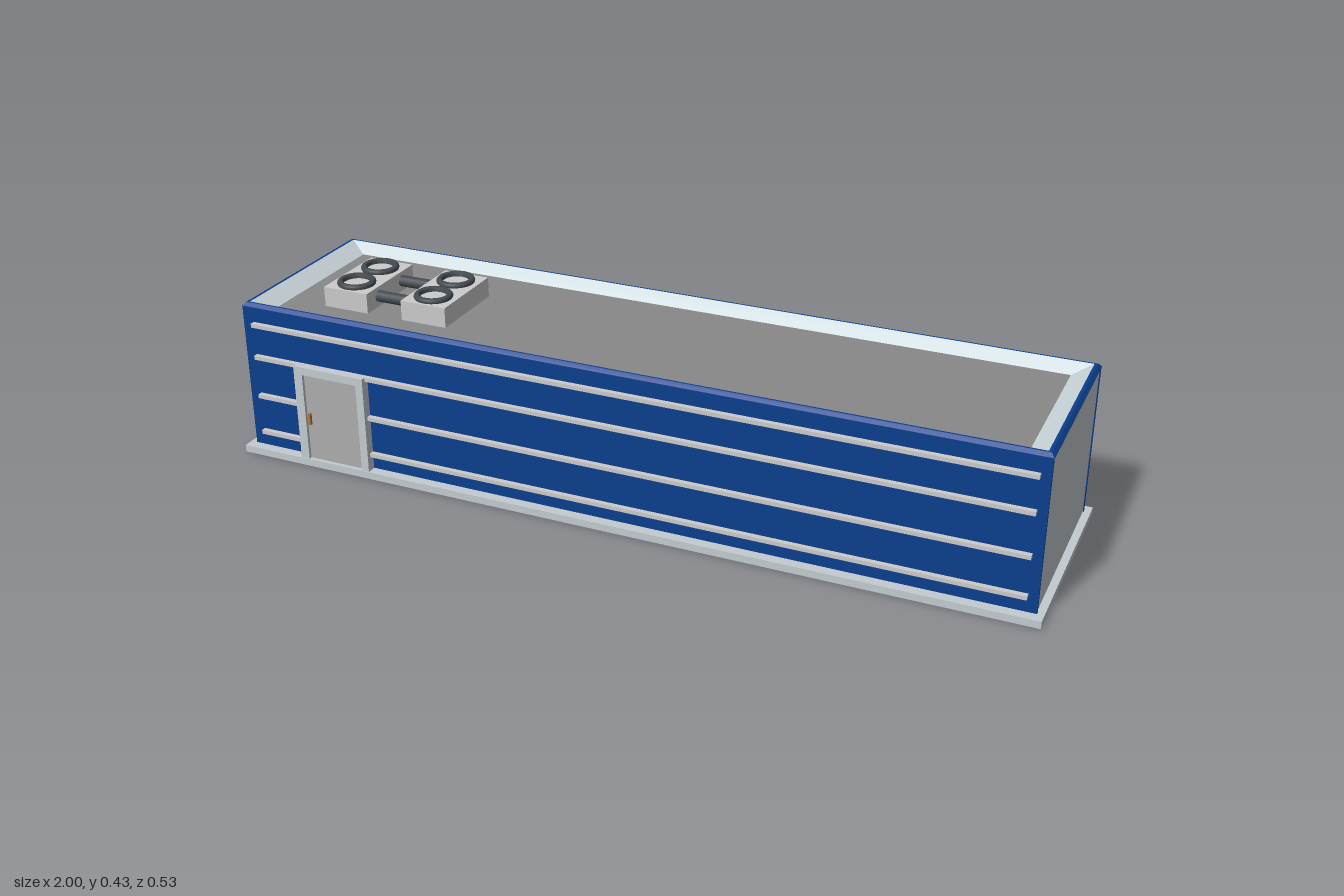
import * as THREE from 'three';

const mat = (color) => new THREE.MeshStandardMaterial({ color });

export function createModel() {
  const model = new THREE.Group();
  const blue = mat(0x0a3f8e), wall = mat(0xc4ccd1), slope = mat(0xccd8dd), grey = mat(0xcccccc);
  const roofGrey = mat(0x888888), doorGrey = mat(0xaeaeae), dark = mat(0x444b50), glass = mat(0x3f9aa8), brass = mat(0xb07a30);
  const cz = -0.002; // the walls sit slightly behind the slab's centre

  const add = (name, geo, material, parent = model) => {
    const mesh = new THREE.Mesh(geo, material);
    mesh.name = name;
    parent.add(mesh);
    return mesh;
  };
  // Box given by its limits on each axis
  const box = (name, x0, x1, y0, y1, z0, z1, material, parent) => {
    const m = add(name, new THREE.BoxGeometry(x1 - x0, y1 - y0, z1 - z0), material, parent);
    m.position.set((x0 + x1) / 2, (y0 + y1) / 2, (z0 + z1) / 2);
    return m;
  };
  const rect = (path, x0, x1, y0, y1) =>
    path.moveTo(x0, y0).lineTo(x1, y0).lineTo(x1, y1).lineTo(x0, y1).closePath();
  // Rectangular plate with a rectangular opening, extruded from z0 to z1
  const holed = (name, outer, inner, z0, z1, material, parent) => {
    const shape = new THREE.Shape(), hole = new THREE.Path();
    rect(shape, ...outer);
    rect(hole, ...inner);
    shape.holes.push(hole);
    const geo = new THREE.ExtrudeGeometry(shape, { depth: z1 - z0, bevelEnabled: false });
    return add(name, geo.translate(0, 0, z0), material, parent);
  };
  // Flat-faced skin through rectangles [halfX, halfZ, y]
  const loft = (name, sections, material) => {
    const pos = [];
    const corners = ([x, z, y]) => [[x, y, cz + z], [x, y, cz - z], [-x, y, cz - z], [-x, y, cz + z]];
    for (let i = 0; i + 1 < sections.length; i++) {
      const a = corners(sections[i]), b = corners(sections[i + 1]);
      for (let k = 0; k < 4; k++) {
        const n = (k + 1) % 4;
        pos.push(...a[k], ...a[n], ...b[n], ...a[k], ...b[n], ...b[k]);
      }
    }
    const geo = new THREE.BufferGeometry();
    geo.setAttribute('position', new THREE.Float32BufferAttribute(pos, 3));
    geo.computeVertexNormals();
    return add(name, geo, material);
  };

  // Base slab and walls
  const opening = [-0.815, -0.66, 0.03, 0.148];
  box('baseSlab', -1, 1, 0, 0.018, -0.267, 0.267, wall);
  box('frontWall', -0.984, 0.984, 0.018, 0.388, 0.233, 0.241, blue);
  holed('backWall', [-0.984, 0.984, 0.018, 0.388], [-0.825, -0.65, 0.024, 0.156], -0.245, -0.237, blue);
  for (const s of [-1, 1]) {
    const end = box('endWall', -0.005, 0.005, 0.018, 0.388, -0.238, 0.234, wall);
    end.position.x = s * 0.977;
  }

  // Roof edge, sloped inner parapet and sunken roof
  loft('roofEdge', [[0.985, 0.243, 0.386], [0.985, 0.243, 0.388], [0.977, 0.235, 0.396], [0.97, 0.23, 0.396]], blue);
  loft('parapetSlope', [[0.97, 0.23, 0.396], [0.925, 0.204, 0.371]], slope);
  box('roof', -0.928, 0.928, 0.361, 0.371, cz - 0.207, cz + 0.207, roofGrey);

  // Horizontal rails along both long sides, broken at the door and the opening
  for (const y of [0.058, 0.156, 0.26, 0.345]) {
    const front = y < 0.2 ? [[-0.955, -0.83], [-0.645, 0.962]] : [[-0.955, 0.962]];
    const back = y < 0.1 || y < 0.16 ? [[-0.955, -0.83], [-0.645, 0.962]] : [[-0.955, 0.962]];
    for (const [x0, x1] of front) box('frontRail', x0, x1, y - 0.005, y + 0.005, 0.24, 0.254, grey);
    for (const [x0, x1] of back) box('backRail', x0, x1, y - 0.005, y + 0.005, -0.256, -0.244, grey);
  }

  // Front door
  const door = new THREE.Group();
  door.name = 'door';
  model.add(door);
  holed('doorFrame', [-0.835, -0.642, 0.018, 0.265], [-0.812, -0.662, 0.0185, 0.245], 0.24, 0.265, wall, door);
  box('doorPanel', -0.812, -0.662, 0.018, 0.245, 0.24, 0.257, doorGrey, door);
  box('doorHandle', -0.806, -0.8, 0.112, 0.142, 0.257, 0.264, brass, door);

  // Barred opening in the back wall
  const vent = new THREE.Group();
  vent.name = 'backOpening';
  model.add(vent);
  holed('openingFrame', [-0.835, -0.642, 0.018, 0.165], opening, -0.263, -0.195, wall, vent);
  box('openingBack', -0.83, -0.65, 0.02, 0.16, -0.197, -0.193, grey, vent);
  for (const x of [-0.766, -0.71]) box('verticalBar', x - 0.007, x + 0.007, 0.03, 0.148, -0.252, -0.24, dark, vent);
  box('crossBar', -0.815, -0.66, 0.099, 0.104, -0.249, -0.243, dark, vent);

  // Two gridded windows in the end wall
  for (const z of [-0.112, 0.103]) {
    const win = new THREE.Group();
    win.name = 'endWindow';
    model.add(win);
    const w = 0.08, y0 = 0.088, y1 = 0.355;
    box('glass', -0.983, -0.975, y0, y1, z - w, z + w, glass, win);
    for (const dz of [-w, -0.045, 0.045, w]) box('mullion', -0.986, -0.975, y0, y1, z + dz - 0.005, z + dz + 0.005, dark, win);
    for (let i = 0; i <= 4; i++) {
      const y = y0 + (y1 - y0) * i / 4;
      box('glazingBar', -0.9855, -0.975, y - 0.005, y + 0.005, z - w, z + w, dark, win);
    }
  }

  // Rooftop cooling units with ring-shaped fan guards and linking pipes
  const ringProfile = [[0.0465, 0], [0.0475, 0.004], [0.046, 0.008], [0.043, 0.011], [0.036, 0.011], [0.033, 0.008], [0.0325, 0]]
    .map(([r, y]) => new THREE.Vector2(r, y));
  const fanZ = [0.0755, -0.0325];
  for (const x of [-0.762, -0.547]) {
    const unit = new THREE.Group();
    unit.name = 'coolingUnit';
    model.add(unit);
    box('unitBody', x - 0.06, x + 0.06, 0.365, 0.421, -0.086, 0.128, grey, unit);
    for (const z of fanZ) add('fanRing', new THREE.LatheGeometry(ringProfile, 32), dark, unit).position.set(x, 0.421, z);
  }
  for (const z of fanZ) {
    const pipe = add('pipe', new THREE.CylinderGeometry(0.014, 0.014, 0.1, 16), dark);
    pipe.rotation.z = Math.PI / 2;
    pipe.position.set(-0.655, 0.398, z);
  }
  return model;
}
